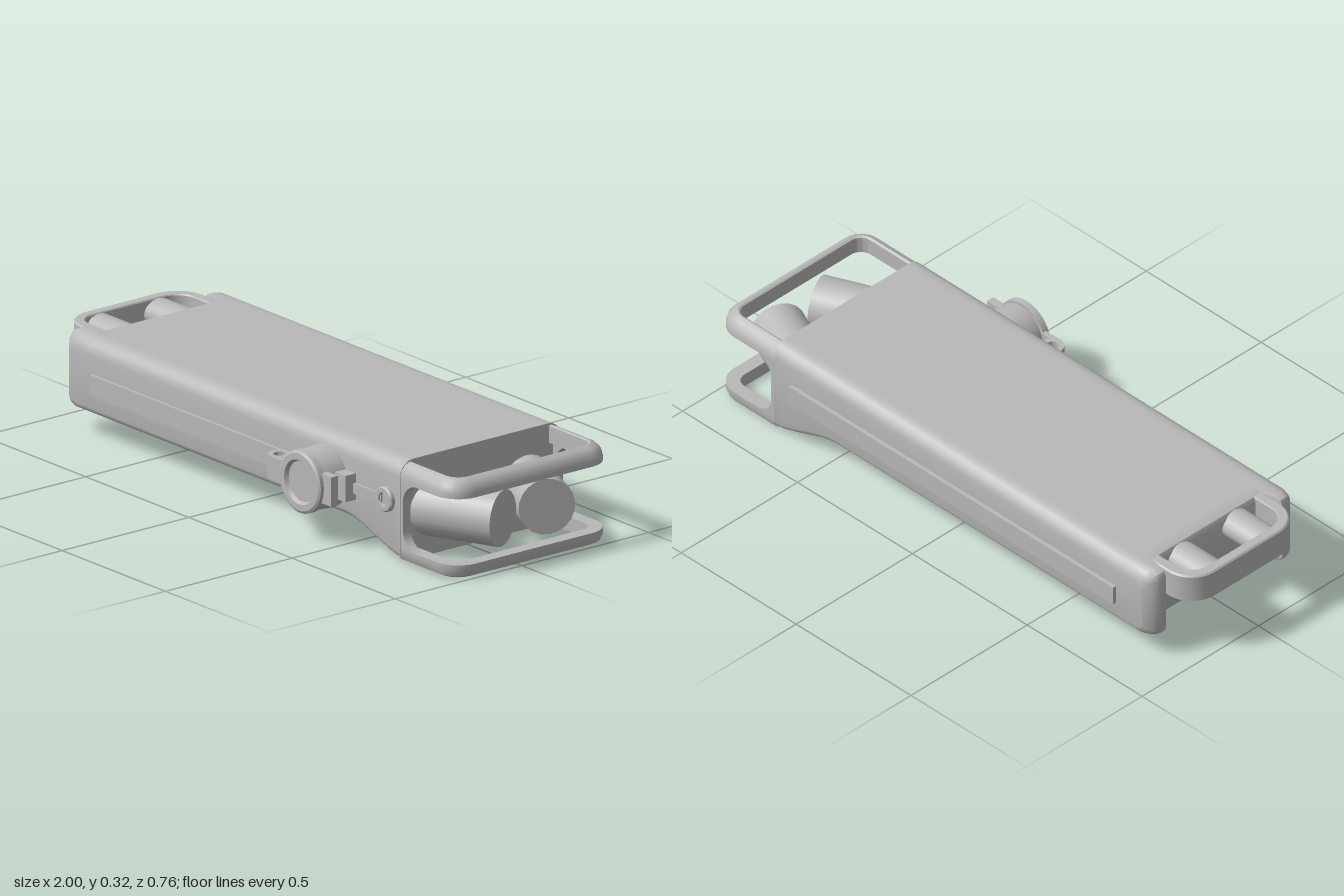
import * as THREE from 'three';
import { toCreasedNormals } from 'three/addons/utils/BufferGeometryUtils.js';

const ZC = -0.048; // centre line of the casing
const HALF = 0.317; // half width of the casing

// Skin rows of points; each row is a closed loop. caps: add end faces pairing i with n-1-i.
function loft(rows, caps) {
  const n = rows[0].length, pos = rows.flat(2), idx = [];
  for (let r = 0; r < rows.length - 1; r++) {
    for (let c = 0; c < n; c++) {
      const a = r * n + c, b = r * n + (c + 1) % n, d = a + n, e = b + n;
      idx.push(a, d, b, b, d, e);
    }
  }
  if (caps) {
    const o = (rows.length - 1) * n;
    for (let i = 0; i < n / 2 - 1; i++) {
      const t = i, t1 = i + 1, b = n - 1 - i, b1 = n - 2 - i;
      idx.push(t, t1, b, t1, b1, b);
      idx.push(o + t, o + b, o + t1, o + t1, o + b, o + b1);
    }
  }
  const g = new THREE.BufferGeometry();
  g.setAttribute('position', new THREE.Float32BufferAttribute(pos, 3));
  g.setIndex(idx);
  return toCreasedNormals(g, 0.6);
}

// Long casing: rounded section, flared underside, recessed rear end between two ears
function casingGeometry() {
  const r = 0.05, cols = [];
  for (let i = 0; i <= 5; i++) {
    const a = i / 5 * Math.PI / 2;
    cols.push([HALF - r + r * Math.cos(a), 1 - Math.sin(a)]);
  }
  cols.push([0.25, 0], [0.235, 0], [0.1, 0]);
  const all = [...cols, ...cols.slice().reverse().map(([u, k]) => [-u, k])];
  const endShift = u => u < 0.24 ? 0.07 : 0.04 * Math.max(0, (u - 0.27) / 0.047) ** 2;
  const stations = [[-0.9, 0.025, 1], [-0.892, 0.009, 1], [-0.87, 0, 1], [-0.78, 0, 0]];
  for (let i = 0; i <= 8; i++) stations.push([0.48 + i * 0.0325, 0, 0]);
  const rows = stations.map(([x, inset, w]) => {
    const bottom = 0.08 - 0.076 * THREE.MathUtils.smoothstep(x, 0.46, 0.76) + inset;
    const top = 0.328 - inset;
    const at = (u, y) => [x + w * endShift(Math.abs(u)), y, ZC + u];
    return [
      ...all.map(([u, k]) => at(u, top - r * k)),
      ...all.slice().reverse().map(([u, k]) => at(u, bottom + 0.028 * k)),
    ];
  });
  return loft(rows, true);
}

// U-shaped bar swept in plan; profile entries are [inward distance, height]
function loopGeometry(profile, x0, x1, half, radius) {
  const rowAt = f => profile.map(([d, y]) => { const [x, z] = f(d); return [x, y, z]; });
  const rows = [rowAt(d => [x0, half - d])];
  for (const s of [1, -1]) {
    for (let i = 0; i <= 8; i++) {
      const a = (s > 0 ? 8 - i : i) / 8 * Math.PI / 2;
      rows.push(rowAt(d => [
        x1 - radius + (radius - d) * Math.cos(a),
        s * (half - radius + (radius - d) * Math.sin(a)),
      ]));
    }
  }
  rows.push(rowAt(d => [x0, d - half]));
  return loft(rows, false);
}

export function createModel() {
  const model = new THREE.Group();
  model.name = 'handheldDevice';
  const grey = new THREE.MeshStandardMaterial({ color: 0xb8b8b8, side: THREE.DoubleSide });
  grey.name = 'grey';

  const add = (name, geometry, x = 0, y = 0, z = 0) => {
    const mesh = new THREE.Mesh(geometry, grey);
    mesh.name = name;
    mesh.position.set(x, y, z);
    model.add(mesh);
    return mesh;
  };
  const box = (name, x0, x1, y0, y1, z0, z1) => add(name,
    new THREE.BoxGeometry(x1 - x0, y1 - y0, z1 - z0), (x0 + x1) / 2, (y0 + y1) / 2, (z0 + z1) / 2);
  // Turned part facing +z; points are [radius, depth]
  const turned = (name, points, x, y, z) => {
    const g = new THREE.LatheGeometry(points.map(p => new THREE.Vector2(...p)), 32);
    const mesh = add(name, toCreasedNormals(g, 0.5), x, y, z);
    mesh.rotation.x = Math.PI / 2;
    return mesh;
  };

  add('casing', casingGeometry());

  // Guard loops above and below the open end
  const upper = [[0, 0.264], [0, 0.28], [0.006, 0.3], [0.02, 0.315], [0.038, 0.322],
    [0.045, 0.318], [0.045, 0.264]];
  const lower = [[0.025, 0.004], [0.008, 0.012], [0, 0.03], [0, 0.05], [0.045, 0.05], [0.045, 0.004]];
  add('upperGuard', loopGeometry(upper, 0.73, 1, HALF - 0.001, 0.085), 0, 0, ZC);
  add('lowerGuard', loopGeometry(lower, 0.73, 1, HALF - 0.001, 0.085), 0, 0, ZC);

  // Curved cheeks where the guards meet the casing
  const cheek = new THREE.Shape();
  cheek.moveTo(0.73, 0.27);
  cheek.lineTo(0.84, 0.27);
  cheek.quadraticCurveTo(0.755, 0.262, 0.752, 0.2);
  cheek.lineTo(0.752, 0.11);
  cheek.quadraticCurveTo(0.755, 0.052, 0.84, 0.045);
  cheek.lineTo(0.73, 0.045);
  const cheekGeometry = new THREE.ExtrudeGeometry(cheek, { depth: 0.03, bevelEnabled: false });
  add('leftCheek', cheekGeometry, 0, 0, ZC + HALF - 0.031);
  add('rightCheek', cheekGeometry, 0, 0, ZC - HALF + 0.001);

  // Two angled barrels in the open end
  for (const s of [1, -1]) {
    const dir = new THREE.Vector3(0.915, 0, -0.403 * s).normalize();
    const end = new THREE.Vector3(0.955, 0.154, ZC + s * 0.087);
    const barrel = add('barrel', new THREE.CylinderGeometry(0.09, 0.09, 0.3, 20));
    barrel.position.copy(end).addScaledVector(dir, -0.15);
    barrel.quaternion.setFromUnitVectors(new THREE.Vector3(0, 1, 0), dir);
  }

  // Rear carrying loop and its two pegs
  const strap = [[0, 0.225], [0, 0.315], [0.005, 0.32], [0.033, 0.32], [0.036, 0.316], [0.036, 0.225]];
  add('rearLoop', loopGeometry(strap, 0.8, 1, 0.24, 0.1), 0, 0, ZC).rotation.y = Math.PI;
  for (const s of [1, -1]) {
    const peg = add('peg', new THREE.CylinderGeometry(0.056, 0.056, 0.17, 24), -0.885, 0.272, ZC + s * 0.117);
    peg.rotation.z = Math.PI / 2;
    peg.scale.x = 0.8;
  }

  // Side rails and underside latch
  box('frontRail', -0.75, 0.22, 0.155, 0.22, 0.25, 0.281);
  box('frontRailTip', 0.22, 0.66, 0.172, 0.205, 0.25, 0.279);
  box('backRail', -0.75, 0.66, 0.155, 0.22, -0.379, -0.35);
  box('latch', -0.49, -0.39, 0.073, 0.09, -0.05, 0.04);

  // Round knob with raised rim and dished face
  turned('knob', [[0.1, 0], [0.1, 0.015], [0.095, 0.085], [0.075, 0.085], [0.075, 0.09], [0.1, 0.09],
    [0.1, 0.112], [0.092, 0.117], [0.072, 0.117], [0.065, 0.104], [0, 0.104]], 0.385, 0.193, 0.262);

  // Curled lever on one side of the knob, clip on the other
  const curl = new THREE.Shape();
  curl.absarc(0.228, -0.327, 0.037, 0, Math.PI * 2);
  const hole = new THREE.Path();
  hole.absarc(0.228, -0.327, 0.02, 0, Math.PI * 2, true);
  curl.holes.push(hole);
  const curlGeometry = new THREE.ExtrudeGeometry(curl, { depth: 0.076, bevelEnabled: false, curveSegments: 16 });
  add('leverCurl', toCreasedNormals(curlGeometry, 0.6), 0, 0.157, 0).rotation.x = -Math.PI / 2;
  box('leverArm', 0.228, 0.31, 0.157, 0.233, 0.347, 0.365);
  box('leverFoot', 0.25, 0.31, 0.165, 0.225, 0.26, 0.31);
  box('clip', 0.46, 0.52, 0.145, 0.24, 0.335, 0.362);
  box('clipFoot', 0.46, 0.525, 0.15, 0.235, 0.26, 0.31);

  // Small ringed button
  turned('button', [[0.04, 0], [0.04, 0.018], [0.036, 0.022], [0.022, 0.022], [0.02, 0.012], [0, 0.012]],
    0.675, 0.193, 0.262);

  return model;
}
